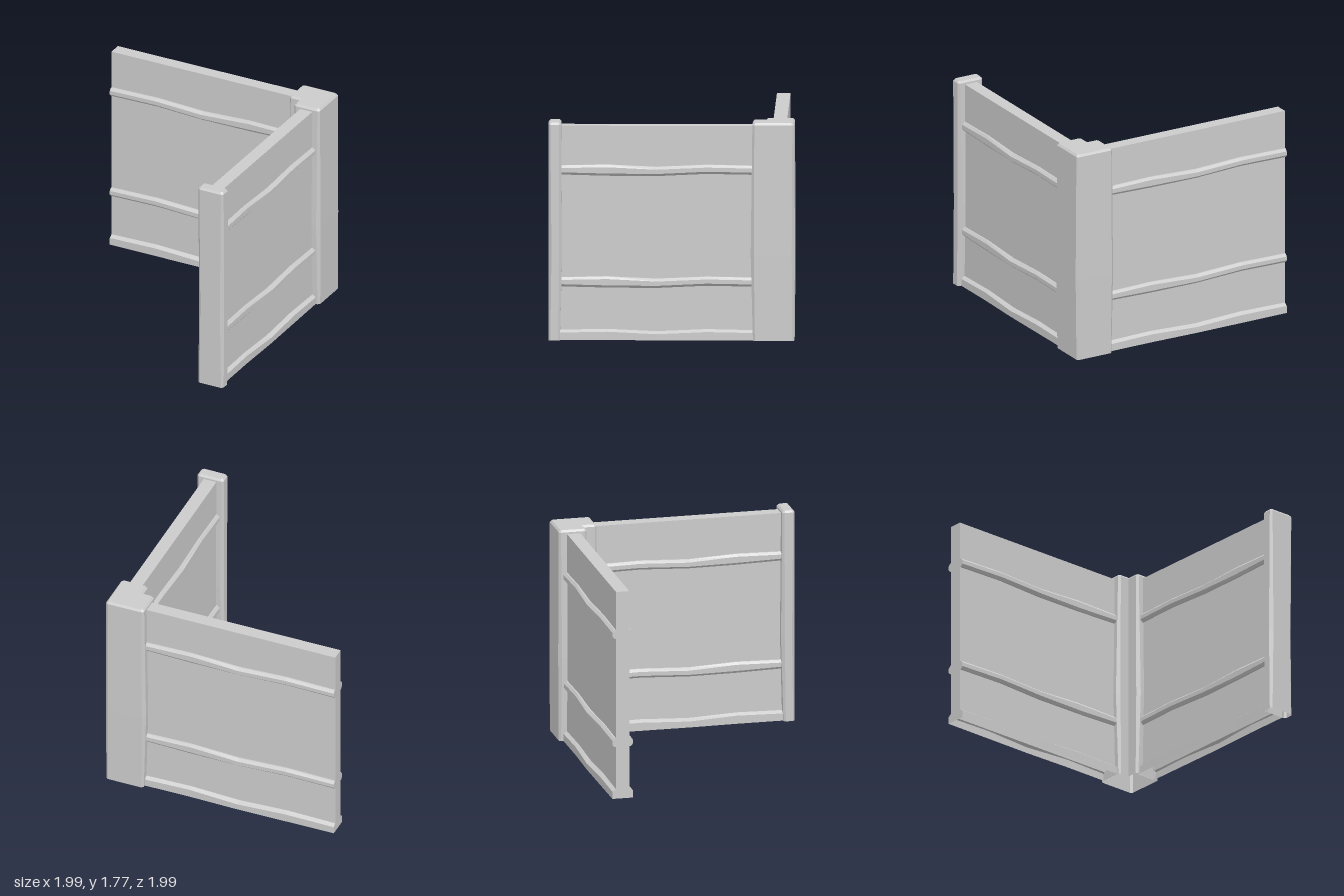
import * as THREE from 'three';

const material = new THREE.MeshStandardMaterial({ color: 0xcccccc, flatShading: true, side: THREE.DoubleSide });

// Skins a run of cross-sections { t, pts } along 'x' (pts = y,z) or 'y' (pts = z,x).
function loft(name, axis, rings, { skip = [], capStart = false, capEnd = false } = {}) {
  const place = (t, [p, q]) => (axis === 'x' ? [t, p, q] : [q, t, p]);
  const out = [];
  const n = rings[0].pts.length;
  for (let i = 0; i < rings.length - 1; i++) {
    for (let j = 0; j < n; j++) {
      if (skip.includes(j)) continue;
      const k = (j + 1) % n;
      const a = place(rings[i].t, rings[i].pts[j]), b = place(rings[i].t, rings[i].pts[k]);
      const c = place(rings[i + 1].t, rings[i + 1].pts[k]), d = place(rings[i + 1].t, rings[i + 1].pts[j]);
      out.push(...a, ...b, ...c, ...a, ...c, ...d);
    }
  }
  const cap = ({ t, pts }, sign) => {
    const flat = pts.map(([p, q]) => new THREE.Vector2(p, q));
    for (const tri of THREE.ShapeUtils.triangulateShape(flat, [])) {
      const area = THREE.ShapeUtils.area(tri.map((i) => flat[i]));
      const order = area * sign > 0 ? tri : [...tri].reverse();
      order.forEach((i) => out.push(...place(t, pts[i])));
    }
  };
  if (capStart) cap(rings[0], -1);
  if (capEnd) cap(rings[rings.length - 1], 1);
  const geometry = new THREE.BufferGeometry();
  geometry.setAttribute('position', new THREE.Float32BufferAttribute(out, 3));
  geometry.computeVertexNormals();
  const mesh = new THREE.Mesh(geometry, material);
  mesh.name = name;
  return mesh;
}

// Cuts the outer corners of a counter-clockwise outline.
function chamfer(corners, c) {
  const n = corners.length;
  return corners.flatMap((p, i) => {
    const a = corners[(i + n - 1) % n], b = corners[(i + 1) % n];
    const turn = (p[0] - a[0]) * (b[1] - p[1]) - (p[1] - a[1]) * (b[0] - p[0]);
    if (turn < 0) return [p];
    const toward = (o) => {
      const l = Math.hypot(o[0] - p[0], o[1] - p[1]);
      return [p[0] + ((o[0] - p[0]) * c) / l, p[1] + ((o[1] - p[1]) * c) / l];
    };
    return [toward(a), toward(b)];
  });
}

// Hand-hewn waviness of the upper and lower edges of the rails
const waveTop = [0, 0.008, -0.01, 0.008, 0];
const waveLow = [0, 0.007, -0.012, -0.01, 0];
const waveOut = [0, 0.003, 0.006, -0.002, 0];

// A wall section along x with rails on both faces and a foot trim
function wall(name, x0, x1) {
  const group = new THREE.Group();
  group.name = name;
  const half = 0.055, depth = 0.03;
  const panel = [[0.06, -half], [1.74, -half], [1.74, half], [0.06, half]];
  group.add(loft('panel', 'x', [{ t: x0, pts: panel }, { t: x1, pts: panel }], { skip: [3], capStart: true }));

  const along = (section) => waveTop.map((_, i) => ({ t: x0 + ((x1 - x0) * i) / 4, pts: section(i) }));
  for (const y of [0.435, 1.345]) {
    for (const side of [1, -1]) {
      const rings = along((i) => {
        const top = y + 0.073 + waveTop[i], low = y + waveLow[i], d = half + depth + waveOut[i];
        const pts = [[top, side * (half - 0.01)], [top, side * (half + 0.012)], [top - 0.02, side * d],
          [low + 0.02, side * d], [low, side * (half + 0.012)], [low, side * (half - 0.01)]];
        return side > 0 ? pts : pts.reverse();
      });
      group.add(loft('rail', 'x', rings, { capStart: true, capEnd: true }));
    }
  }

  // Foot trim is open underneath
  const trim = along((i) => {
    const top = 0.08 + waveTop[i], d = half + depth + waveOut[i];
    return [[0, -d], [top - 0.02, -d], [top, -half], [top, half], [top - 0.02, d], [0, d]];
  });
  group.add(loft('footTrim', 'x', trim, { skip: [2, 5], capStart: true }));
  return group;
}

// Outline of the L-shaped corner post: e = bulge, g = inset, c = chamfer
function cornerOutline(e, g, c) {
  const left = 0.655 - e + g, right = 0.982 + e / 3 - g;
  const back = -0.988 - e / 3 + g, front = -0.655 + e - g;
  return chamfer([[-0.757 - g, left], [-0.757 - g, 0.75 + g], [front, 0.75 + g],
    [front, right], [back, right], [back, left]], c);
}

// Outline of the slim end post: e = bulge of its inner edge
function endOutline(e, g, c) {
  const inner = 0.9 - e + g, outer = 0.993 - g, a = 0.75 + g, b = 0.98 - g;
  return chamfer([[inner, a], [outer, a], [outer, b], [inner, b]], c);
}

// A post open underneath, widest at mid height, with a bevelled top
function post(name, outline, topBulge) {
  return loft(name, 'y', [
    { t: 0, pts: outline(0, 0, 0.016) },
    { t: 0.7, pts: outline(0.018, 0, 0.026) },
    { t: 1.755, pts: outline(topBulge, 0, 0.016) },
    { t: 1.772, pts: outline(topBulge, 0.014, 0.012) },
  ], { capEnd: true });
}

export function createModel() {
  const model = new THREE.Group();
  model.name = 'cornerWall';

  const backWall = wall('backWall', -1, 0.68);
  backWall.position.z = -0.868;
  const sideWall = wall('sideWall', -0.68, 0.92);
  sideWall.rotation.y = -Math.PI / 2;
  sideWall.position.x = 0.865;

  model.add(backWall, sideWall,
    post('cornerPost', cornerOutline, 0.004),
    post('endPost', endOutline, 0.01));
  return model;
}
